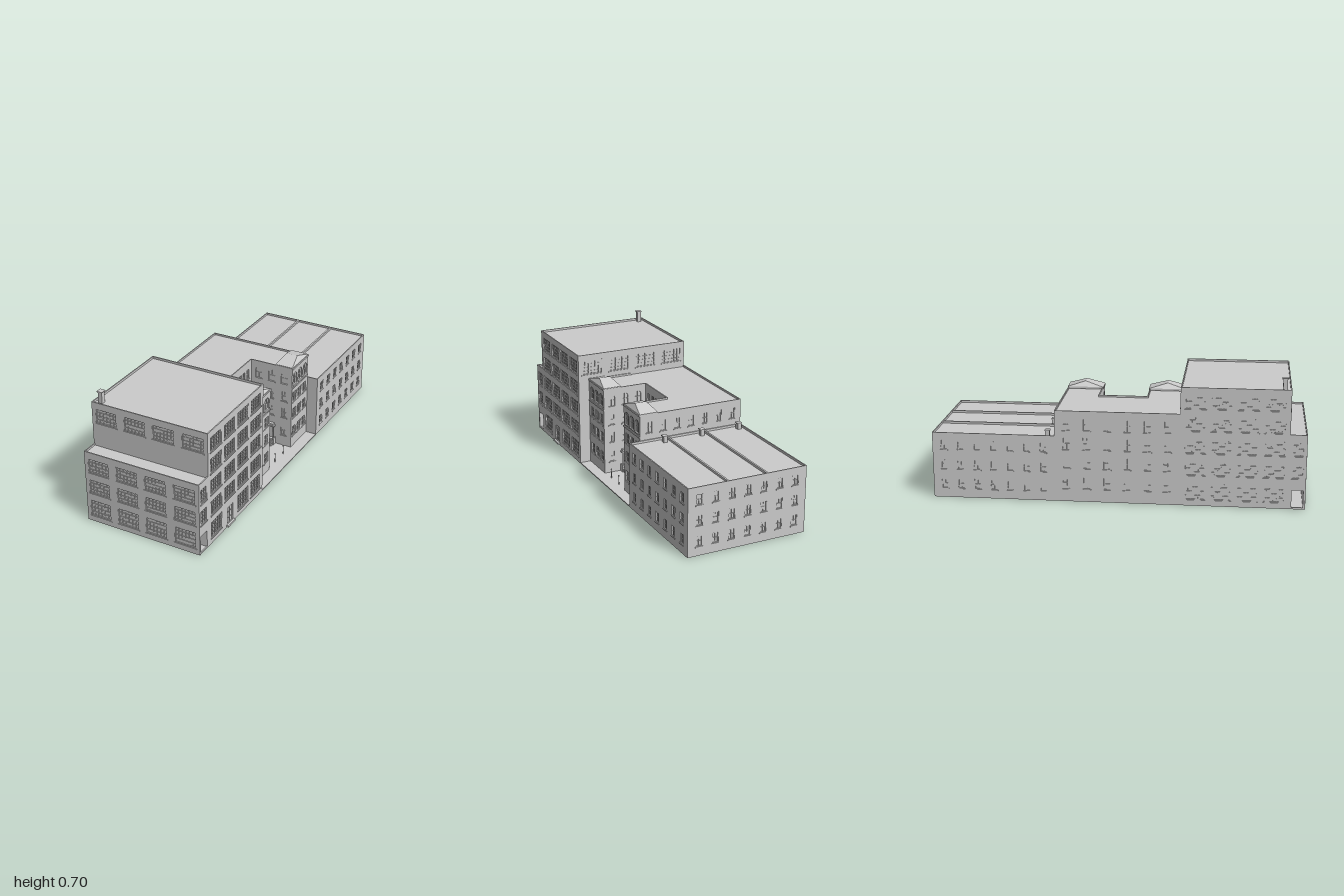
import * as THREE from 'three';
import { mergeGeometries } from 'three/addons/utils/BufferGeometryUtils.js';
import { ConvexGeometry } from 'three/addons/geometries/ConvexGeometry.js';

const mat = new THREE.MeshStandardMaterial({ color: 0xcccccc, flatShading: true });
const T = 0.006; // wall panel thickness, also the window reveal
const X0 = -0.338, X1 = 0.328, XC = (X0 + X1) / 2, W = X1 - X0, XW = 0.265;
const EAST = Math.PI / 2, WEST = -Math.PI / 2, BACK = Math.PI;

function add(parent, name, geo, x = 0, y = 0, z = 0) {
  const m = new THREE.Mesh(geo, mat);
  m.name = name;
  m.position.set(x, y, z);
  parent.add(m);
  return m;
}

// Box given by its extents
function block(parent, name, x0, x1, y0, y1, z0, z1) {
  return add(parent, name, new THREE.BoxGeometry(x1 - x0, y1 - y0, z1 - z0),
    (x0 + x1) / 2, (y0 + y1) / 2, (z0 + z1) / 2);
}

// Rectangular or round-headed outline of an opening
function outline(o) {
  const p = new THREE.Path(), a = o.u - o.w / 2, b = o.u + o.w / 2, top = o.y + o.h;
  p.moveTo(a, o.y);
  p.lineTo(b, o.y);
  if (o.arch) p.absarc(o.u, top - o.w / 2, o.w / 2, 0, Math.PI, false);
  else { p.lineTo(b, top); p.lineTo(a, top); }
  p.closePath();
  return p;
}

// Frame, glazing bars and sill of one window
function bars(o) {
  const out = [];
  const bar = (u, y, w, h, z0, z1) => out.push(
    new THREE.BoxGeometry(w, h, z1 - z0).translate(u, y, (z0 + z1) / 2));
  const cy = o.y + o.h / 2, f = o.frame, t = 0.002;
  for (let i = 1; i < o.nx; i++) bar(o.u - o.w / 2 + o.w * i / o.nx, cy, t, o.h, -T, -T + 0.003);
  for (let j = 1; j < o.ny; j++) bar(o.u, o.y + o.h * j / o.ny, o.w, t, -T, -T + 0.003);
  if (f) for (const s of [-1, 1]) {
    bar(o.u + s * (o.w - f) / 2, cy, f, o.h, -T, -0.001);
    bar(o.u, cy + s * (o.h - f) / 2, o.w, f, -T, -0.001);
  }
  if (o.sill) bar(o.u, o.y - 0.003, o.w + 0.008, 0.006, -T, 0.003);
  return out;
}

// Wall panel centred at (x, z), turned to face outwards, with its openings
function wall(parent, name, x, z, turn, w, y0, y1, openings = []) {
  const g = new THREE.Group();
  g.name = name;
  g.position.set(x, 0, z);
  g.rotation.y = turn;
  const s = new THREE.Shape([[-w / 2, y0], [w / 2, y0], [w / 2, y1], [-w / 2, y1]]
    .map(p => new THREE.Vector2(...p)));
  s.holes = openings.map(outline);
  add(g, name + 'Panel', new THREE.ExtrudeGeometry(s,
    { depth: T, bevelEnabled: false, curveSegments: 8 }), 0, 0, -T);
  const parts = openings.flatMap(bars);
  if (parts.length) add(g, name + 'Windows', mergeGeometries(parts));
  parent.add(g);
  return g;
}

// Window kinds: factory grid, sash, arched
const factory = (u, y, w, h, nx = 6) => ({ u, y, w, h, nx, ny: 4, frame: 0.004, sill: true });
const sash = (u, y, w = 0.034, h = 0.062) => ({ u, y, w, h, nx: 2, ny: 2, frame: 0.003, sill: true });
const arched = (u, y, w, h) => ({ u, y, w, h, nx: 2, ny: 2, arch: true, sill: true });
const grid = (us, ys, make) => us.flatMap(u => ys.map(y => make(u, y)));
const spread = (n, pitch) => Array.from({ length: n }, (_, i) => (i - (n - 1) / 2) * pitch);

function frontBlock(root) {
  const g = new THREE.Group();
  g.name = 'frontBlock';
  root.add(g);
  const a = X0 + T, b = X1 - T;
  block(g, 'tallCore', a, b, 0, 0.638, 0.335 + T, 0.904);
  block(g, 'lowCore', a, b, 0.106, 0.4, 0.9, 0.994);
  block(g, 'passageBackWall', a, b, 0, 0.11, 0.9, 0.926);
  block(g, 'passageFrontWall', a, b, 0, 0.11, 0.989, 0.994);

  const cols = [-0.25, -0.083, 0.083, 0.25];
  const rows = [[0.033, 0.095], [0.168, 0.082], [0.29, 0.083]];
  const top = cols.map(u => factory(u, 0.533, 0.122, 0.082));
  wall(g, 'frontWall', XC, 1, 0, W, 0, 0.41,
    cols.flatMap(u => rows.map(([y, h]) => factory(u, y, 0.122, h))));
  wall(g, 'upperFrontWall', XC, 0.91, 0, W, 0.39, 0.65, top);
  wall(g, 'rearWall', XC, 0.335, BACK, W, 0, 0.65, top);

  const bays = spread(4, 0.139);
  const allRows = [...rows, [0.412, 0.083], [0.533, 0.082]];
  for (const [name, x, turn] of [['leftWall', X1, EAST], ['rightWall', X0, WEST]]) {
    const wins = bays.flatMap((u, i) => allRows.map(([y, h], j) =>
      x > 0 && i === 1 && j === 0
        ? { u, y: 0.012, w: 0.06, h: 0.105, nx: 2, ny: 3, frame: 0.005 } // side door
        : factory(u, y, 0.108, h)));
    wall(g, name, x, 0.6225, turn, 0.575, 0, 0.65, wins);
    const s = x > 0 ? -1 : 1;
    wall(g, name + 'Low', x, 0.955, turn, 0.09, 0, 0.41, [
      { u: s * 0.0025, y: 0.01, w: 0.061, h: 0.095, nx: 0, ny: 0 }, // passage mouth
      ...rows.slice(1).map(([y, h]) => factory(0, y, 0.06, h, 3))]);
  }
  block(g, 'sideDoorStep', X1, 0.34, 0.006, 0.016, 0.655, 0.73);
  block(g, 'chimney', -0.312, -0.289, 0.63, 0.7, 0.863, 0.887);
  block(g, 'chimneyCap', -0.316, -0.285, 0.7, 0.705, 0.859, 0.891);
}

function rearBlock(root) {
  const g = new THREE.Group();
  g.name = 'rearBlock';
  root.add(g);
  block(g, 'core', X0 + T, X1 - T, 0, 0.353, -1 + T, -0.335 - T);
  const wins = grid(spread(7, 0.09), [0.05, 0.16, 0.27], (u, y) => sash(u, y, 0.034, 0.056));
  wall(g, 'backWall', XC, -1, BACK, W, 0, 0.365, wins);
  wall(g, 'leftWall', X1, -0.6675, EAST, 0.665, 0, 0.365, wins);
  wall(g, 'rightWall', X0, -0.6675, WEST, 0.665, 0, 0.365, wins);
  wall(g, 'innerWall', XC, -0.335, 0, W, 0, 0.365);
  for (const x of [-0.115, 0.105]) block(g, 'roofDivider', x - 0.005, x + 0.005, 0.35, 0.365, -0.995, -0.34);
  for (const x of [-0.305, -0.08, 0.14]) {
    block(g, 'roofVent', x - 0.011, x + 0.011, 0.35, 0.385, -0.387, -0.364);
    block(g, 'roofVentCap', x - 0.014, x + 0.014, 0.385, 0.39, -0.39, -0.361);
  }
}

// Porch facing local +z: steps, two columns, door and a hood
function porch(parent, name, x, z, turn, arch) {
  const g = new THREE.Group();
  g.name = name;
  g.position.set(x, 0.006, z);
  g.rotation.y = turn;
  for (let i = 0; i < 4; i++) block(g, 'step', -0.026, 0.026, 0, 0.009 * (i + 1), 0, 0.045 - i * 0.008);
  for (const s of [-1, 1]) {
    block(g, 'cheekWall', s * 0.029 - 0.003, s * 0.029 + 0.003, 0, 0.042, 0, 0.028);
    add(g, 'column', new THREE.CylinderGeometry(0.003, 0.0035, 0.078, 8), s * 0.022, 0.075, 0.015);
  }
  block(g, 'door', -0.014, 0.014, 0.036, 0.1, 0, 0.003);
  block(g, 'hood', -0.03, 0.03, 0.114, 0.121, 0, 0.024);
  if (arch) {
    const c = new THREE.CylinderGeometry(0.024, 0.024, 0.02, 12, 1, false, -Math.PI / 2, Math.PI);
    const m = add(g, 'archedHood', c.rotateX(-Math.PI / 2), 0, 0.121, 0.01);
    m.scale.y = 0.65;
  } else block(g, 'hoodTop', -0.024, 0.024, 0.121, 0.131, 0, 0.018);
  parent.add(g);
}

function middleBlock(root) {
  const g = new THREE.Group();
  g.name = 'middleBlock';
  root.add(g);
  const H = 0.505, R = 0.495, rows = [0.07, 0.185, 0.29, 0.395];
  block(g, 'spineCore', X0 + T, 0.01 - T, 0, R, -0.335 + T, 0.336);
  wall(g, 'rightWall', X0, 0, WEST, 0.67, 0, H, grid(spread(6, 0.108), rows, (u, y) => sash(u, y, 0.04, 0.068)));
  wall(g, 'courtWall', 0.01, -0.0025, EAST, 0.265, 0, H,
    grid([-0.095, -0.045, 0.045, 0.095], rows, (u, y) => sash(u, y, 0.03))
      .concat(rows.slice(1).map(y => sash(0, y, 0.03))));
  wall(g, 'backWall', (X0 + XW) / 2, -0.335, BACK, XW - X0, 0.34, H,
    spread(7, 0.083).map(u => sash(u, 0.4)));

  for (const [s, inner] of [[1, 0.13], [-1, 0.135]]) {
    const zc = s * (inner + 0.335) / 2, w = 0.335 - inner;
    const z = [s * (inner + T), s * (0.335 - T)].sort((p, q) => p - q);
    block(g, 'wingCore', 0, XW - T, 0, R, z[0], z[1]);
    // Wing end: three window bays under an arcade
    const us = [-0.063, 0, 0.063];
    wall(g, 'wingEndWall', XW, zc, EAST, w, 0, H, [
      ...grid(us, rows.slice(0, 3), (u, y) => sash(u, y, 0.04)),
      ...us.map(u => arched(u, 0.4, 0.045, 0.07))]);
    // Court side, with the porch bay left clear on the ground floor
    wall(g, 'wingCourtWall', 0.1375, s * inner, s > 0 ? BACK : 0, 0.255, 0, H, [
      ...grid([-0.08, 0, 0.08], rows.slice(1, 3), (u, y) => sash(u, y)),
      ...[-0.08, 0.08].map(u => sash(u, rows[0])),
      ...[-0.08, 0, 0.08].map(u => arched(u, 0.4, 0.04, 0.068))]);
    if (s > 0) wall(g, 'wingOuterWall', 0.1375, 0.335, 0, 0.255, 0, H);
    else wall(g, 'wingOuterWall', 0.1375, -0.335, BACK, 0.255, 0, 0.36);
    block(g, 'cornice', 0.16, XW + 0.004, 0.498, 0.508, Math.min(s * (inner - 0.003), s * 0.335), Math.max(s * (inner - 0.003), s * 0.335));
    block(g, 'beltCourse', XW, XW + 0.004, 0.378, 0.386, Math.min(s * inner, s * 0.335), Math.max(s * inner, s * 0.335));
    // Hipped roof over the wing end
    const pts = [];
    for (const x of [0.16, XW]) for (const zz of [s * inner, s * 0.335])
      pts.push(new THREE.Vector3(x, 0.5, zz), new THREE.Vector3(x, 0.51, zz));
    for (const x of [0.18, 0.245]) pts.push(new THREE.Vector3(x, 0.54, zc));
    add(g, 'hippedRoof', new ConvexGeometry(pts));
    porch(g, 'sidePorch', 0.1375, s * inner, s > 0 ? BACK : 0, false);
    // Lamp post at the court entrance
    add(g, 'lampPost', new THREE.CylinderGeometry(0.0015, 0.002, 0.05, 6), 0.26, 0.031, s * 0.05);
    add(g, 'lamp', new THREE.SphereGeometry(0.0045, 8, 6), 0.26, 0.058, s * 0.05);
  }
  porch(g, 'mainPorch', 0.01, -0.0025, EAST, true);
}

export function createModel() {
  const root = new THREE.Group();
  root.name = 'buildingComplex';
  block(root, 'ground', X0, X1, 0, 0.006, -1, 1);
  frontBlock(root);
  middleBlock(root);
  rearBlock(root);
  return root;
}
